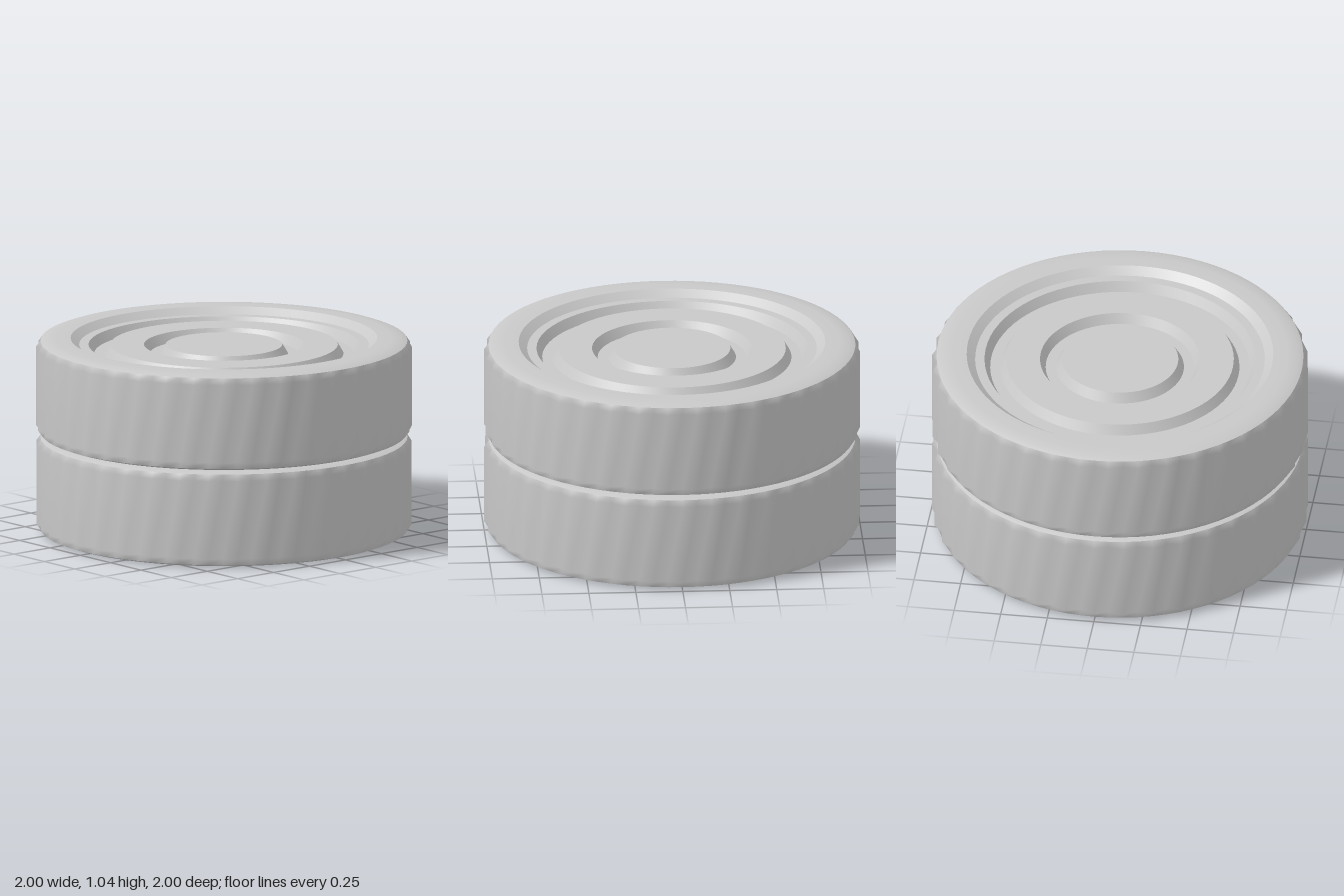
import * as THREE from 'three';
import { mergeVertices, toCreasedNormals } from 'three/addons/utils/BufferGeometryUtils.js';

const TEETH = 40;
const HEIGHT = 0.5225; // one disc
const VALLEY = 0.975;

const grey = new THREE.MeshStandardMaterial({ color: 0xc8c8c8 });
grey.name = 'plain grey';

// Turned face profile as [radius, depth below the rim], from the centre outwards
const FACE = [
  [0, 0.035], [0.31, 0.035], [0.34, 0.085], [0.395, 0.085], [0.425, 0.035],
  [0.605, 0.035], [0.635, 0.085], [0.69, 0.085], [0.72, 0.035],
  [0.77, 0.035], [0.815, 0], [0.89, 0], [0.945, 0.004], [VALLEY, 0.015],
];

// Solid disc with ring grooves on both faces
function bodyGeometry() {
  const bottom = FACE.map(([r, d]) => new THREE.Vector2(r, d));
  const top = FACE.map(([r, d]) => new THREE.Vector2(r, HEIGHT - d)).reverse();
  const core = [new THREE.Vector2(0.95, 0.03), new THREE.Vector2(0.95, HEIGHT - 0.03)];
  return toCreasedNormals(new THREE.LatheGeometry([...bottom, ...core, ...top], 80), 0.5);
}

// Band of soft teeth, tapering into the rim at both ends
function knurlGeometry() {
  const rows = [HEIGHT - 0.015, HEIGHT - 0.05, 0.05, 0.015];
  const columns = TEETH * 2;
  let geo = new THREE.CylinderGeometry(1, 1, 1, columns, rows.length - 1, true);
  const pos = geo.attributes.position;
  for (let i = 0; i < pos.count; i++) {
    const row = Math.floor(i / (columns + 1));
    const column = (i % (columns + 1)) % columns;
    const inner = row === 1 || row === 2;
    const radius = inner && column % 2 === 0 ? 1 : VALLEY;
    const a = (column / columns) * Math.PI * 2;
    pos.setXYZ(i, radius * Math.sin(a), rows[row], radius * Math.cos(a));
  }
  geo.deleteAttribute('normal');
  geo.deleteAttribute('uv');
  geo = mergeVertices(geo); // closes the seam for smooth shading
  geo.computeVertexNormals();
  return geo;
}

export function createModel() {
  const model = new THREE.Group();
  model.name = 'stackedDiscs';
  const body = bodyGeometry();
  const knurl = knurlGeometry();

  // Two equal discs, turned half a tooth against each other
  ['lowerDisc', 'upperDisc'].forEach((name, i) => {
    const disc = new THREE.Group();
    disc.name = name;
    const core = new THREE.Mesh(body, grey);
    core.name = 'groovedBody';
    const band = new THREE.Mesh(knurl, grey);
    band.name = 'knurledEdge';
    disc.add(core, band);
    disc.position.y = i * HEIGHT;
    disc.rotation.y = i * Math.PI / TEETH;
    model.add(disc);
  });
  return model;
}
